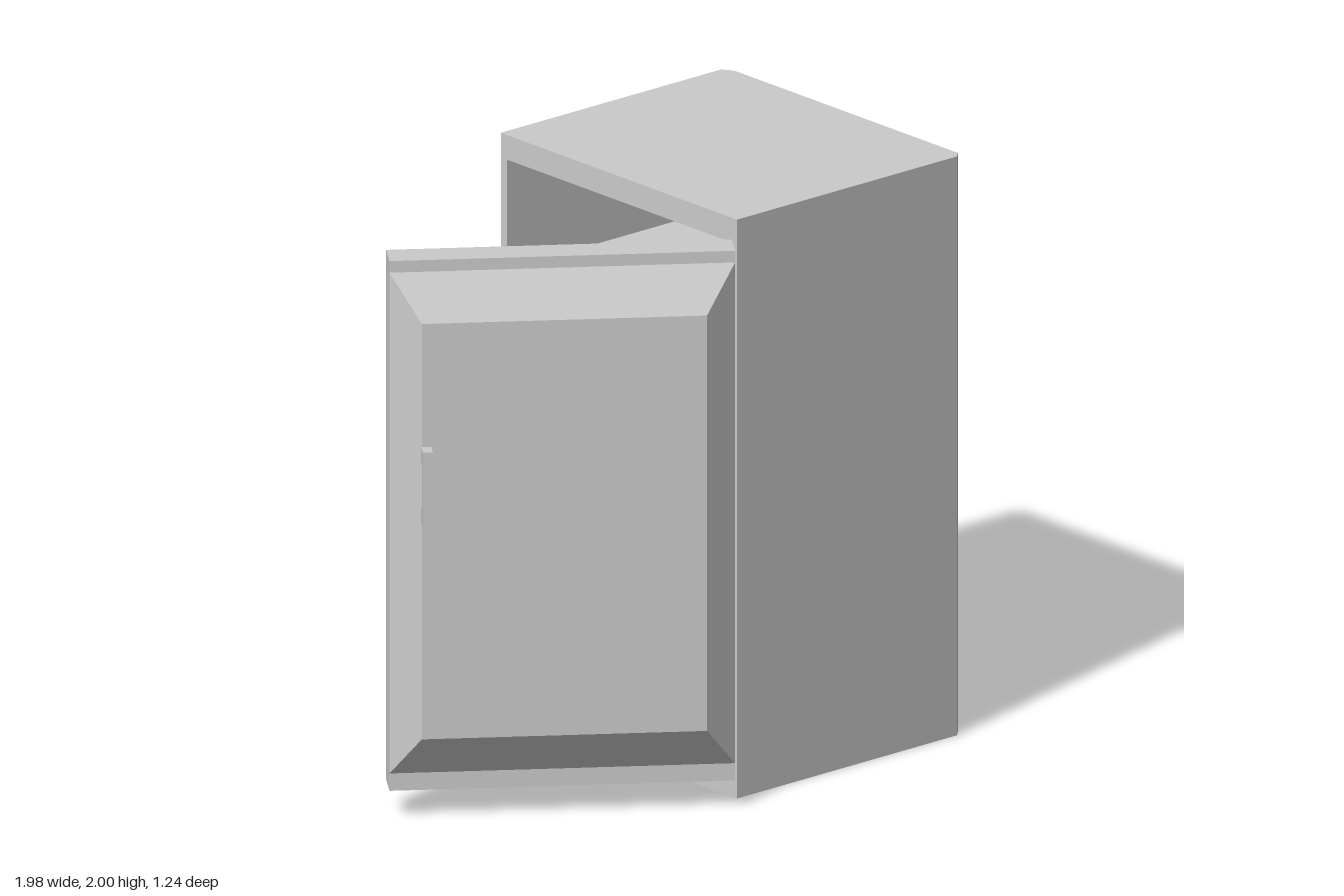
import * as THREE from 'three';

const material = new THREE.MeshStandardMaterial({ color: 0xcccccc, flatShading: true });

function addMesh(parent, name, geometry) {
  const mesh = new THREE.Mesh(geometry, material);
  mesh.name = name;
  parent.add(mesh);
  return mesh;
}

// Box given by its limits on each axis
function addBox(parent, name, [x0, x1], [y0, y1], [z0, z1]) {
  const mesh = addMesh(parent, name, new THREE.BoxGeometry(x1 - x0, y1 - y0, z1 - z0));
  mesh.position.set((x0 + x1) / 2, (y0 + y1) / 2, (z0 + z1) / 2);
  return mesh;
}

// Floor-plan outline of [x, z] points raised from y0 to y1
function addPrism(parent, name, plan, y0, y1) {
  const shape = new THREE.Shape(plan.map(([x, z]) => new THREE.Vector2(x, -z)));
  const geometry = new THREE.ExtrudeGeometry(shape, { depth: y1 - y0, bevelEnabled: false });
  geometry.rotateX(-Math.PI / 2);
  geometry.translate(0, y0, 0);
  return addMesh(parent, name, geometry);
}

// Skin over successive rectangles [x0, x1, y0, y1, z], capped at both ends
function loftRectangles(rects) {
  const rings = rects.map(([x0, x1, y0, y1, z]) => [[x0, y0, z], [x1, y0, z], [x1, y1, z], [x0, y1, z]]);
  const positions = [];
  const quad = (a, b, c, d) => [a, b, c, a, c, d].forEach((p) => positions.push(...p));
  const first = rings[0];
  const last = rings[rings.length - 1];
  quad(first[3], first[2], first[1], first[0]);
  for (let r = 0; r < rings.length - 1; r++) {
    for (let i = 0; i < 4; i++) {
      const j = (i + 1) % 4;
      quad(rings[r][i], rings[r][j], rings[r + 1][j], rings[r + 1][i]);
    }
  }
  quad(...last);
  const geometry = new THREE.BufferGeometry();
  geometry.setAttribute('position', new THREE.Float32BufferAttribute(positions, 3));
  geometry.computeVertexNormals();
  return geometry;
}

// Cabinet open towards -x, with chamfered rear corners and three shelves
function createCabinet() {
  const cabinet = new THREE.Group();
  cabinet.name = 'cabinet';
  const outline = [[0, 0.54], [0.96, 0.54], [0.985, 0.515], [0.985, -0.59], [0.96, -0.625], [0, -0.625]];
  const cavity = [[0, -0.595], [0.95, -0.595], [0.95, 0.505], [0, 0.505]];
  addPrism(cabinet, 'base', outline, 0, 0.31);
  addPrism(cabinet, 'walls', [...outline, ...cavity], 0.31, 1.915);
  addPrism(cabinet, 'topPanel', outline, 1.915, 2);
  for (const top of [0.705, 1.1, 1.535]) {
    addBox(cabinet, 'shelf', [0.27, 0.95], [top - 0.03, top], [-0.595, 0.505]);
  }
  return cabinet;
}

// Open-topped rack on the inside of the door
function createDoorRack(bottom, top) {
  const rack = new THREE.Group();
  rack.name = 'doorRack';
  const left = -1.045, right = -0.09, front = -0.13, back = 0.052, wall = 0.018;
  addBox(rack, 'rackFloor', [left, right], [bottom, bottom + wall], [front, back]);
  addBox(rack, 'rackFront', [left, right], [bottom, top], [front, front + wall]);
  addBox(rack, 'rackEnd', [left, left + wall], [bottom, top], [front, back]);
  addBox(rack, 'rackEnd', [right - wall, right], [bottom, top], [front, back]);
  return rack;
}

// Door in its own frame: hinge at x = 0, free edge at -x, outside towards +z
function createDoor() {
  const door = new THREE.Group();
  door.name = 'door';
  addMesh(door, 'doorPanel', loftRectangles([
    [-1.09, -0.045, 0.23, 1.79, 0.05],   // recessed inner panel
    [-1.1, -0.03, 0.125, 1.895, 0],      // recess opening
    [-1.134, 0, 0.095, 1.925, 0],        // inner rim
    [-1.134, 0, 0.095, 1.925, 0.114],    // outer rim
    [-1.134, 0, 0.155, 1.885, 0.114],    // foot of the raised panel
    [-1.036, -0.1, 0.3, 1.735, 0.203],   // raised panel
  ]));

  for (const [bottom, top] of [[0.38, 0.605], [0.85, 0.99], [1.23, 1.375]]) {
    door.add(createDoorRack(bottom, top));
  }

  const handle = new THREE.Group();
  handle.name = 'handle';
  addBox(handle, 'handleGrip', [-1.038, -1.005], [1.05, 1.31], [0.24, 0.26]);
  addBox(handle, 'handleArm', [-1.038, -1.005], [1.05, 1.105], [0.19, 0.24]);
  addBox(handle, 'handleArm', [-1.038, -1.005], [1.255, 1.31], [0.19, 0.24]);
  door.add(handle);

  door.position.set(0, 0, 0.515);
  door.rotation.y = -0.632;
  return door;
}

export function createModel() {
  const model = new THREE.Group();
  model.name = 'refrigerator';
  model.add(createCabinet(), createDoor());
  return model;
}
